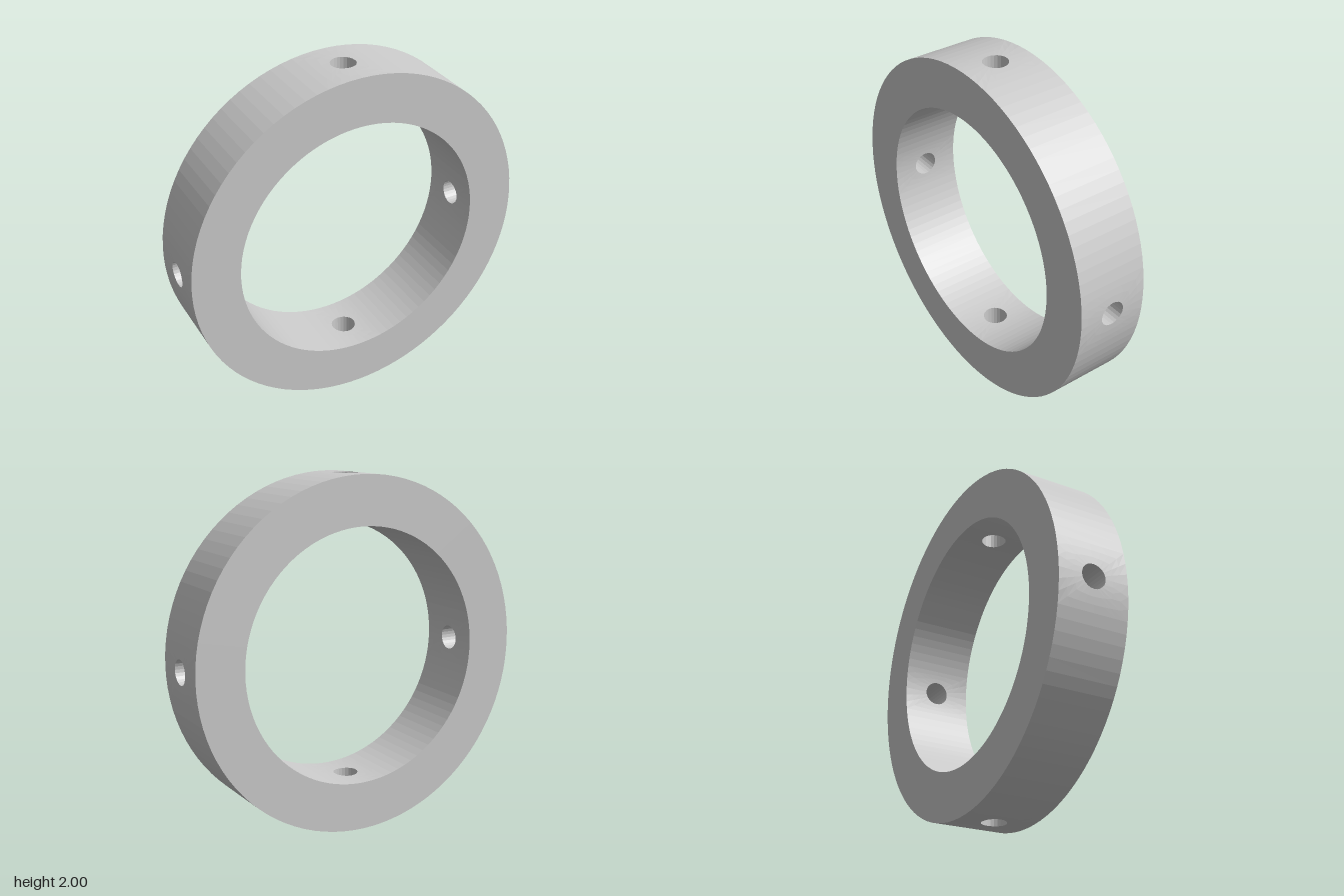
import * as THREE from 'three';

const OUTER = 1, INNER = 0.723, HALF = 0.205, HOLE = 0.07;
const SEGMENTS = 96, STEP = (Math.PI * 2) / SEGMENTS;
const PATCH = 3;   // segments either side of a hole that belong to its patch
const LAYERS = 3;  // rows between the hole rim and the patch border

const material = new THREE.MeshStandardMaterial({ color: 0xcccccc, flatShading: true });

// Skin a list of equally long rows of points
function loft(rows) {
  const cols = rows[0].length, index = [];
  for (let i = 0; i < rows.length - 1; i++) {
    for (let j = 0; j < cols - 1; j++) {
      const a = i * cols + j, b = a + 1, d = a + cols, c = d + 1;
      index.push(a, b, d, b, c, d);
    }
  }
  const geometry = new THREE.BufferGeometry().setFromPoints(rows.flat());
  geometry.setIndex(index);
  geometry.computeVertexNormals();
  return geometry;
}

// Point on a cylinder of radius r around z, near the top
const onWall = (r, x, z) => new THREE.Vector3(x, Math.sqrt(r * r - x * x), z);

// Border of the patch around a hole: four sides of equal point count
function border(r, j) {
  const n = PATCH * 2, side = Math.floor(j / n) % 4, t = ((j % n) / n) * 2 - 1;
  const a = PATCH * STEP;
  const [angle, z] = [[a, t], [-t * a, 1], [-a, -t], [t * a, -1]][side];
  return [r * Math.sin(angle), z * HALF];
}

// One loop around the hole; k = 0 is the rim, k = 1 the patch border
function loop(r, k) {
  const n = PATCH * 8;
  return Array.from({ length: n + 1 }, (_, j) => {
    const phi = -Math.PI / 4 + (j / n) * Math.PI * 2;
    const [x, z] = border(r, j);
    return onWall(r,
      THREE.MathUtils.lerp(HOLE * Math.cos(phi), x, k),
      THREE.MathUtils.lerp(HOLE * Math.sin(phi), z, k));
  });
}

// Inner patch, bore and outer patch as one continuous skin
function boreGeometry() {
  const rows = [];
  for (let k = LAYERS; k >= 0; k--) rows.push(loop(INNER, k / LAYERS));
  for (let k = 0; k <= LAYERS; k++) rows.push(loop(OUTER, k / LAYERS));
  return loft(rows);
}

// Plain wall between two neighbouring holes
function wallGeometry(r, facing) {
  const rows = [];
  for (let i = PATCH; i <= SEGMENTS / 4 - PATCH; i++) {
    const x = r * Math.sin(i * STEP), y = r * Math.cos(i * STEP);
    rows.push([-1, 1].map((s) => new THREE.Vector3(x, y, s * facing * HALF)));
  }
  return loft(rows);
}

export function createModel() {
  const model = new THREE.Group();
  model.name = 'drilledRing';
  const add = (name, geometry) => {
    const mesh = new THREE.Mesh(geometry, material);
    mesh.name = name;
    model.add(mesh);
    return mesh;
  };

  // Flat annular faces
  const face = new THREE.RingGeometry(INNER, OUTER, SEGMENTS);
  add('frontFace', face).position.z = HALF;
  const back = add('backFace', face);
  back.position.z = -HALF;
  back.rotation.y = Math.PI;

  // Four radial holes with the walls between them
  const bore = boreGeometry();
  const outerWall = wallGeometry(OUTER, 1), innerWall = wallGeometry(INNER, -1);
  for (let q = 0; q < 4; q++) {
    const parts = [['radialHole', bore], ['outerWall', outerWall], ['innerWall', innerWall]];
    for (const [name, geometry] of parts) {
      add(name + (q + 1), geometry).rotation.z = (q * Math.PI) / 2;
    }
  }

  model.position.y = OUTER;
  return model;
}
